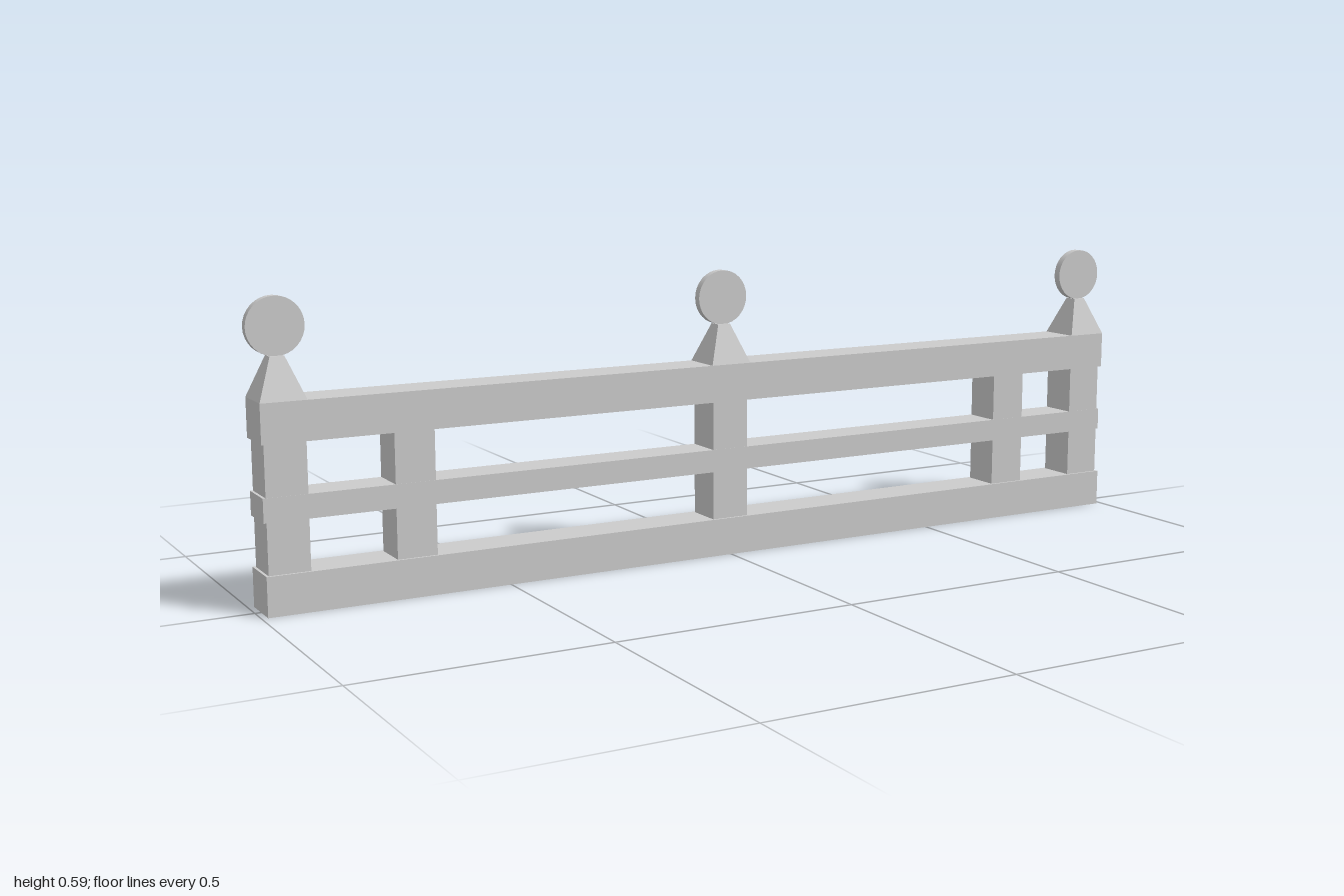
import * as THREE from 'three';

export function createModel() {
  const fence = new THREE.Group();
  fence.name = 'fence';
  const material = new THREE.MeshStandardMaterial({ color: 0xcccccc });
  const flat = new THREE.MeshStandardMaterial({ color: 0xcccccc, flatShading: true });

  const add = (name, geometry, x, y, mat = material) => {
    const mesh = new THREE.Mesh(geometry, mat);
    mesh.name = name;
    mesh.position.set(x, y, 0);
    fence.add(mesh);
  };

  // Horizontal rails: [name, bottom, top, depth]
  const rails = [
    ['bottomRail', 0, 0.078, 0.09],
    ['middleRail', 0.178, 0.225, 0.081],
    ['topRail', 0.325, 0.402, 0.09],
  ];
  for (const [name, y0, y1, depth] of rails) {
    add(name, new THREE.BoxGeometry(1.976, y1 - y0, depth), 0, (y0 + y1) / 2);
  }

  // Upright posts between the bottom and top rails
  for (const x of [-0.942, -0.691, 0, 0.723, 0.942]) {
    add('post', new THREE.BoxGeometry(0.081, 0.247, 0.08), x, 0.2015);
  }

  // Tapered cap: a box whose upper corners are drawn inward
  const cap = new THREE.BoxGeometry(0.09, 0.08, 0.09);
  const p = cap.attributes.position;
  for (let i = 0; i < p.count; i++) {
    if (p.getY(i) > 0) p.setXYZ(i, p.getX(i) * 0.31, p.getY(i), p.getZ(i) * 0.31);
  }
  cap.computeVertexNormals();

  // Upright disc finial facing front
  const disc = new THREE.CylinderGeometry(0.056, 0.056, 0.017, 32).rotateX(Math.PI / 2);

  for (const x of [-0.943, 0, 0.943]) {
    add('postCap', cap, x, 0.442, flat);
    add('discFinial', disc, x, 0.537);
  }
  return fence;
}
